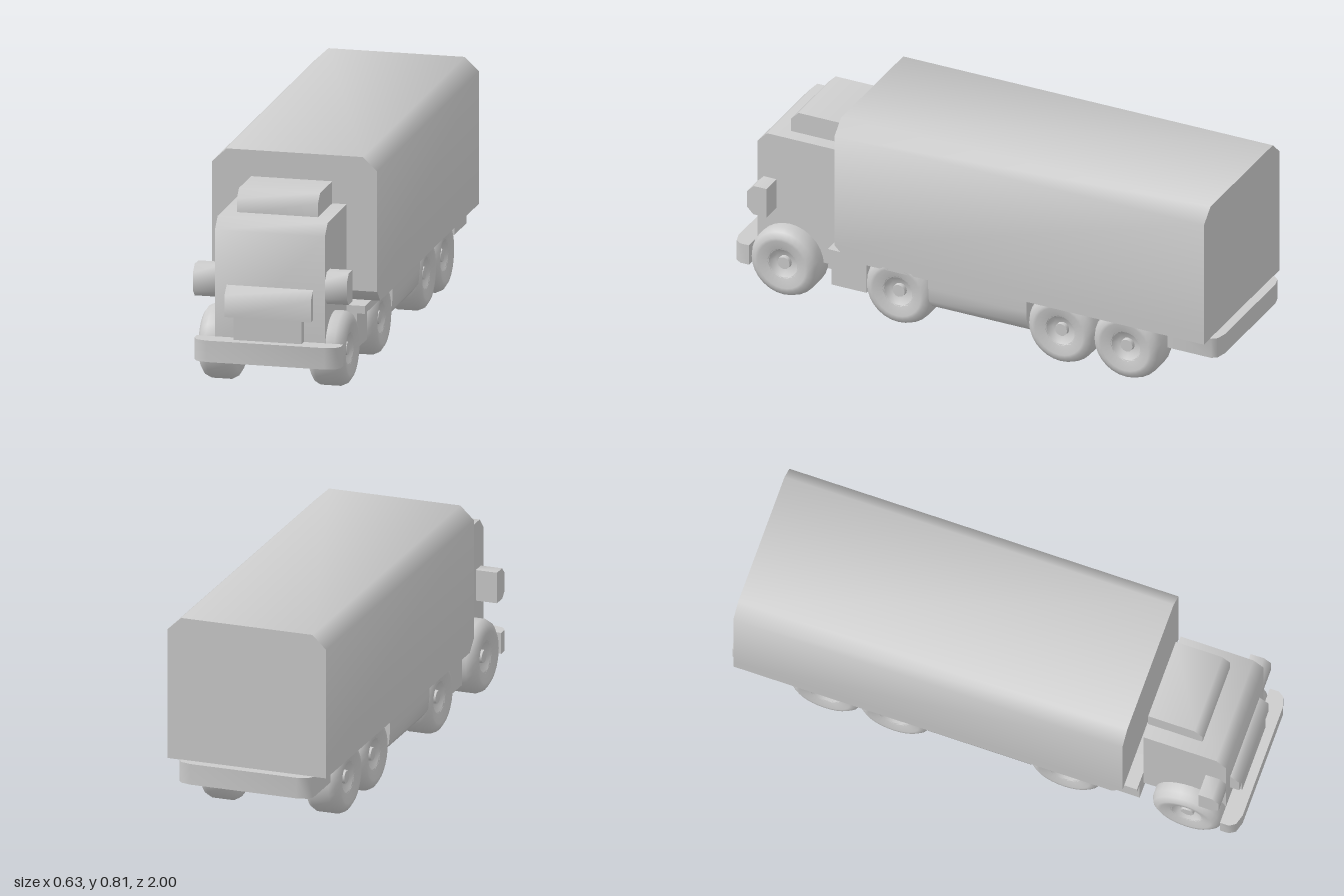
import * as THREE from 'three';
import { toCreasedNormals } from 'three/addons/utils/BufferGeometryUtils.js';

const material = new THREE.MeshStandardMaterial({ color: 0xcccccc });

function extrude(points, depth) {
  const shape = new THREE.Shape(points.map(([a, b]) => new THREE.Vector2(a, b)));
  return new THREE.ExtrudeGeometry(shape, { depth, bevelEnabled: false });
}

function makeMesh(name, geometry) {
  const mesh = new THREE.Mesh(toCreasedNormals(geometry, 0.85), material);
  mesh.name = name;
  return mesh;
}

// Outline in (z, y), extruded between x0 and x1
function sidePart(name, points, x0, x1) {
  const g = extrude(points, x1 - x0);
  g.rotateY(-Math.PI / 2).translate(x1, 0, 0);
  return makeMesh(name, g);
}

// Half outline in (x, y), mirrored and extruded between z0 and z1
function frontPart(name, half, z0, z1) {
  const g = extrude(mirrored(half), z1 - z0);
  g.translate(0, 0, z0);
  return makeMesh(name, g);
}

// Half outline in (x, z), mirrored and extruded between y0 and y1
function topPart(name, half, y0, y1) {
  const g = extrude(mirrored(half), y1 - y0);
  g.rotateX(Math.PI / 2).translate(0, y1, 0);
  return makeMesh(name, g);
}

function mirrored(half) {
  return [...half, ...half.map(([x, y]) => [-x, y]).reverse()];
}

function lathe(profile, segments) {
  const g = new THREE.LatheGeometry(profile.map(([r, h]) => new THREE.Vector2(r, h)), segments);
  return g.rotateZ(-Math.PI / 2);
}

function createWheel(name) {
  const wheel = new THREE.Group();
  wheel.name = name;
  const tyre = lathe([
    [0, 0], [0.11, 0], [0.13, 0.012], [0.14, 0.03], [0.14, 0.105], [0.13, 0.127],
    [0.11, 0.14], [0.098, 0.14], [0.058, 0.128],
  ], 28);
  // Octagonal recess with a small round cap in its middle
  const recess = lathe([[0.065, 0.13], [0.042, 0.108], [0, 0.108]], 8);
  const cap = lathe([[0.027, 0.1], [0.025, 0.124], [0, 0.124]], 12);
  wheel.add(makeMesh('tyre', tyre), makeMesh('hubRecess', recess), makeMesh('hubCap', cap));
  return wheel;
}

export function createModel() {
  const truck = new THREE.Group();
  truck.name = 'boxTruck';

  // Cargo box with bevelled roof edges and a bevelled lower front edge
  truck.add(
    frontPart('cargoBox', [[0.315, 0.3], [0.315, 0.76], [0.26, 0.812]], -0.965, 0.56),
    sidePart('cargoBoxBase', [[-0.965, 0.255], [0.515, 0.255], [0.56, 0.3], [-0.965, 0.3]], -0.315, 0.315),
  );

  // Cab, roof fairing and grille
  truck.add(
    sidePart('cab', [[0.605, 0.15], [0.93, 0.15], [0.93, 0.597], [0.89, 0.64], [0.605, 0.64]], -0.21, 0.21),
    sidePart('roofFairing', [[0.605, 0.63], [0.818, 0.63], [0.818, 0.692], [0.787, 0.724], [0.605, 0.724]], -0.155, 0.155),
    sidePart('grille', [[0.92, 0.275], [0.965, 0.275], [0.965, 0.357], [0.93, 0.39], [0.92, 0.39]], -0.165, 0.165),
    sidePart('grilleBase', [[0.92, 0.18], [0.965, 0.18], [0.965, 0.28], [0.92, 0.28]], -0.13, 0.13),
  );

  // Bumpers with bevelled corners
  truck.add(
    topPart('frontBumper', [[0.28, 0.93], [0.28, 0.965], [0.265, 0.988], [0.225, 1]], 0.108, 0.19),
    topPart('rearBumper', [[0.21, -1], [0.25, -0.99], [0.265, -0.97], [0.265, -0.79]], 0.175, 0.256),
  );

  // Chassis and the wider skirted section under the cargo box
  truck.add(
    sidePart('chassis', [
      [-0.735, 0.09], [0.92, 0.09], [0.92, 0.18], [0.605, 0.255], [-0.79, 0.255], [-0.79, 0.14],
    ], -0.145, 0.145),
    frontPart('midSkirt', [[0.22, 0.09], [0.25, 0.102], [0.275, 0.135], [0.28, 0.19], [0.28, 0.256]], -0.215, 0.19),
  );

  // Paired side parts
  for (const [side, s] of [['left', 1], ['right', -1]]) {
    const span = (a, b) => (s > 0 ? [a, b] : [-b, -a]);
    truck.add(
      sidePart(side + 'Mirror', [
        [0.85, 0.335], [0.905, 0.335], [0.93, 0.36], [0.93, 0.428], [0.903, 0.455], [0.85, 0.455],
      ], ...span(0.2, 0.294)),
      sidePart(side + 'FuelTank', [[0.46, 0.09], [0.605, 0.09], [0.605, 0.225], [0.46, 0.225]], ...span(0.14, 0.25)),
      sidePart(side + 'FrameRail', [[0.19, 0.225], [0.605, 0.225], [0.605, 0.255], [0.19, 0.255]], ...span(0.14, 0.28)),
    );
    [0.795, 0.32, -0.35, -0.62].forEach((z, i) => {
      const wheel = createWheel(side + 'Wheel' + (i + 1));
      wheel.position.set(s * 0.14, 0.14, z);
      if (s < 0) wheel.rotation.y = Math.PI;
      truck.add(wheel);
    });
  }

  return truck;
}
